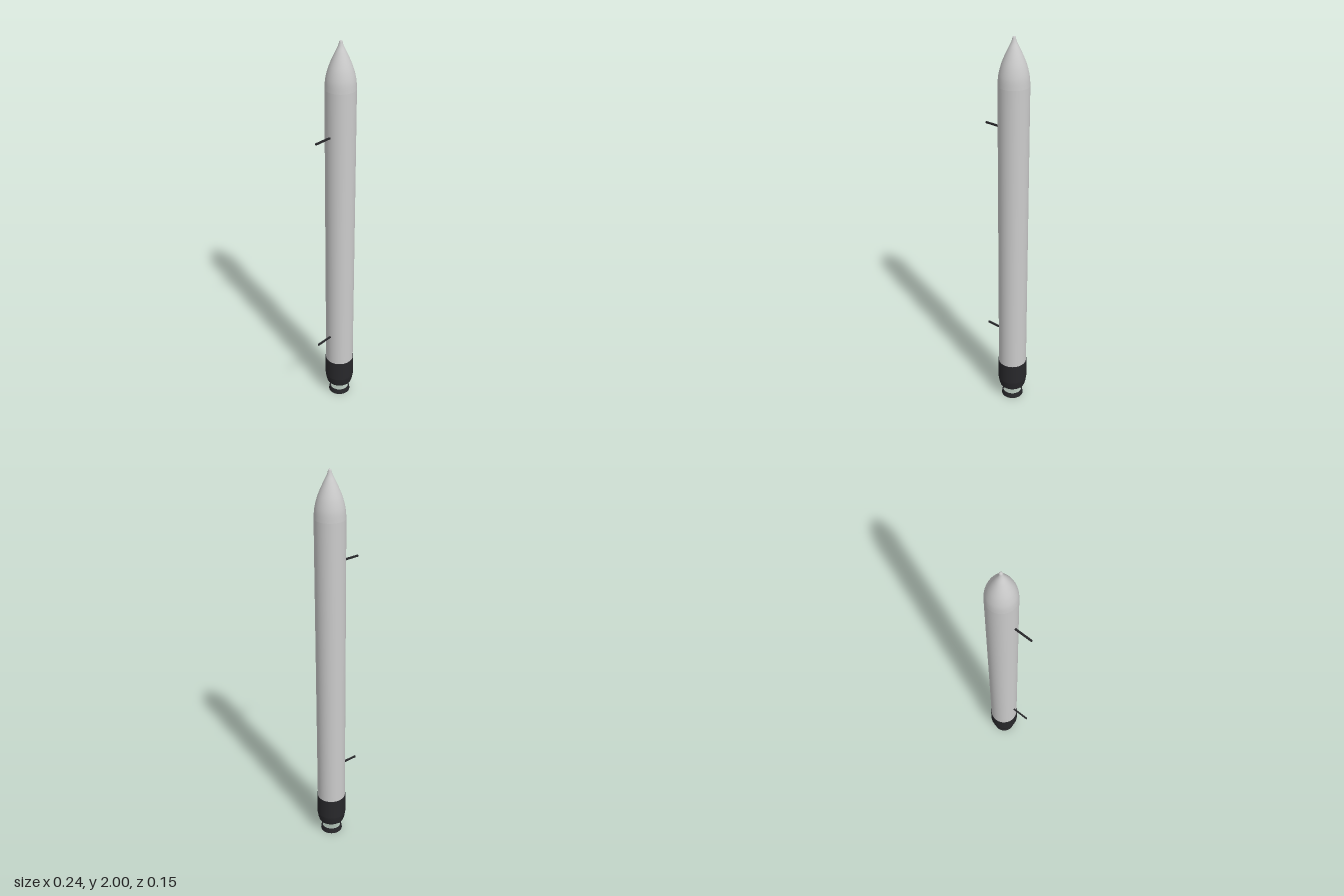
import * as THREE from 'three';

const SEGMENTS = 48;
const AXIS_X = 0.042;

const paint = (color) => new THREE.MeshStandardMaterial({ color, side: THREE.DoubleSide });

// Smooth turned part; a fresh lathe per section keeps the edges between sections sharp
function turned(name, sections, material) {
  const group = new THREE.Group();
  group.name = name;
  sections.forEach((points, i) => {
    const profile = points.map(([r, y]) => new THREE.Vector2(r, y));
    const mesh = new THREE.Mesh(new THREE.LatheGeometry(profile, SEGMENTS), material);
    mesh.name = `${name}Section${i + 1}`;
    group.add(mesh);
  });
  return group;
}

export function createModel() {
  const model = new THREE.Group();
  model.name = 'rocket';
  const grey = paint(0xcccccc);
  const dark = paint(0x28282b);
  const metal = paint(0x3c3c3e);

  const rocket = new THREE.Group();
  rocket.name = 'rocketStack';
  rocket.position.x = AXIS_X;
  model.add(rocket);

  // Long straight tank
  rocket.add(turned('body', [[[0.073, 0.23], [0.073, 1.78]]], grey));

  // Pointed fairing with a slightly hollowed tip and a small rounded cap
  const nose = new THREE.SplineCurve([
    [0.073, 1.78], [0.0695, 1.825], [0.059, 1.87], [0.044, 1.91],
    [0.027, 1.947], [0.0145, 1.972], [0.009, 1.988],
  ].map(([r, y]) => new THREE.Vector2(r, y))).getPoints(28).map((p) => [p.x, p.y]);
  rocket.add(turned('nose', [nose, [[0.009, 1.988], [0.0075, 1.997], [0.005, 2], [0, 2]]], grey));

  // Dark engine skirt, drawn in at the bottom and closed by a plate
  rocket.add(turned('engineSkirt', [
    [[0, 0.071], [0.066, 0.071]],
    [[0.066, 0.071], [0.0705, 0.085], [0.076, 0.12]],
    [[0.076, 0.12], [0.076, 0.232]],
    [[0.076, 0.232], [0.07, 0.232]],
  ], dark));

  // Short engine throat below the skirt, hollow inside
  rocket.add(turned('engineThroat', [
    [[0.044, 0.055], [0.048, 0.072]],
    [[0.038, 0.055], [0.044, 0.055]],
    [[0, 0.069], [0.03, 0.067], [0.038, 0.055]],
  ], metal));

  // Open ring at the nozzle mouth
  rocket.add(turned('nozzleRing', [
    [[0.057, 0], [0.053, 0.027]],
    [[0.053, 0.027], [0.049, 0.027]],
    [[0.049, 0.027], [0.053, 0]],
    [[0.053, 0], [0.057, 0]],
  ], dark));

  // Two thin arms reaching out to the right
  [['lowerArm', 0.405], ['upperArm', 1.562]].forEach(([name, y]) => {
    const arm = new THREE.Mesh(new THREE.BoxGeometry(0.096, 0.008, 0.008), dark);
    arm.name = name;
    arm.position.set(-0.074, y, 0);
    model.add(arm);
  });

  return model;
}
